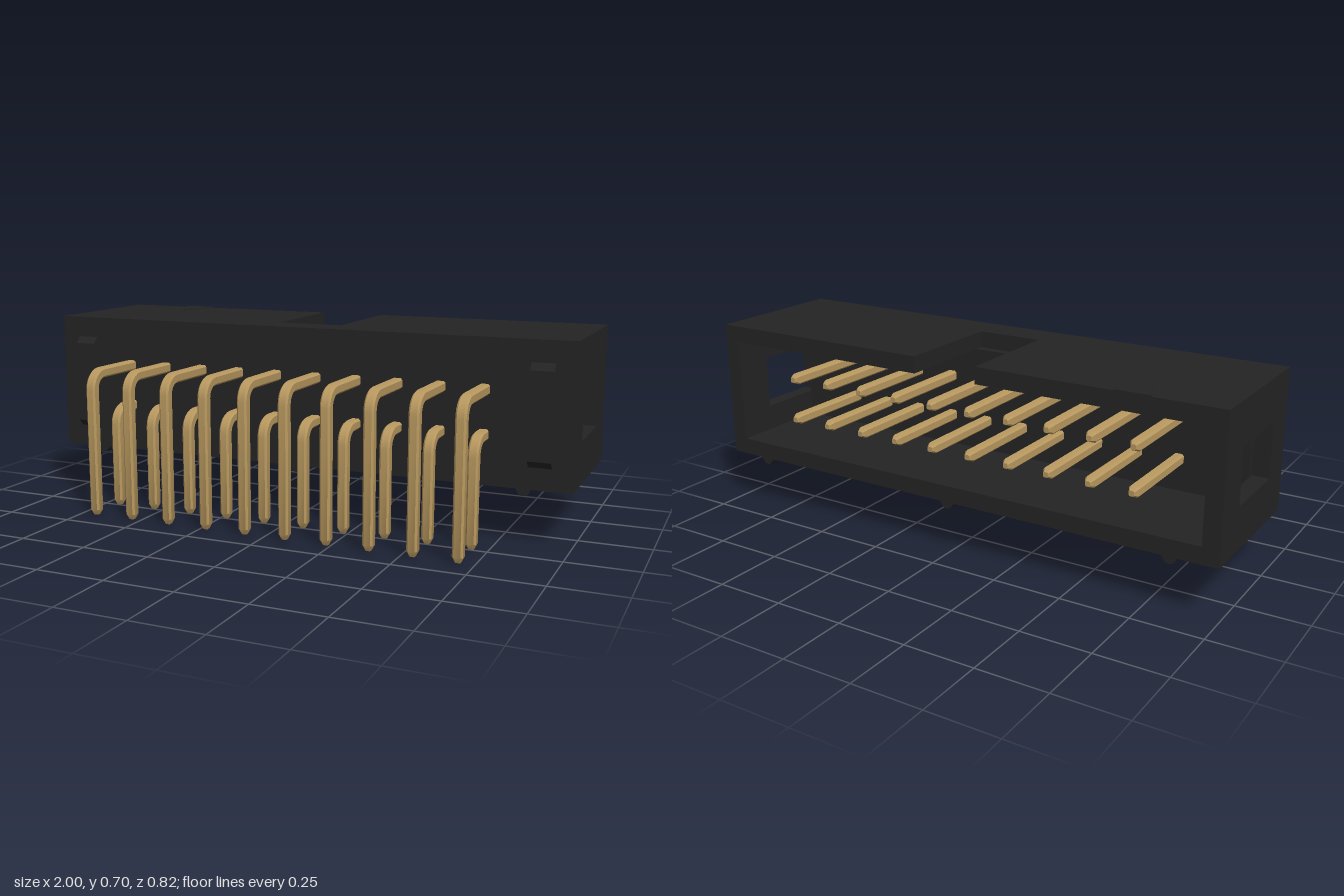
import * as THREE from 'three';
import { toCreasedNormals } from 'three/addons/utils/BufferGeometryUtils.js';

const black = new THREE.MeshStandardMaterial({ name: 'black plastic', color: 0x242424 });
const brass = new THREE.MeshStandardMaterial({ name: 'gold pin', color: 0xb8985f });

// Housing limits
const X = 1, Y0 = 0.195, Y1 = 0.7, BACK = -0.41, FRONT = 0.13, WALL = 0.06, FLOOR = -0.027;

function polygon(points) {
  return new THREE.Shape(points.map(([a, b]) => new THREE.Vector2(a, b)));
}

function extrude(shape, depth) {
  return new THREE.ExtrudeGeometry(shape, { depth, bevelEnabled: false });
}

// Profile given as (-z, y), extruded along x and centred on x = 0
function sideExtrude(shape, width) {
  return extrude(shape, width).translate(0, 0, -width / 2).rotateY(Math.PI / 2);
}

// Profile given as (x, -z), extruded upward from y
function topExtrude(shape, y, height) {
  return extrude(shape, height).rotateX(-Math.PI / 2).translate(0, y, 0);
}

function box(x0, x1, y0, y1, z0, z1) {
  return new THREE.BoxGeometry(x1 - x0, y1 - y0, z1 - z0)
    .translate((x0 + x1) / 2, (y0 + y1) / 2, (z0 + z1) / 2);
}

// Bent pin with a chamfered square section, swept from the mating tip to the solder tip
function pinGeometry(yh, zv) {
  const h = 0.0185, c = 0.012, r = 0.056, steps = 6;
  const section = [[h, -c], [h, c], [c, h], [-c, h], [-h, c], [-h, -c], [-c, -h], [c, -h]];
  const rings = [{ y: yh, z: -0.395, a: 0, s: 0.5 }, { y: yh, z: -0.375, a: 0, s: 1 }];
  for (let i = 0; i <= steps; i++) {
    const a = (i / steps) * Math.PI / 2;
    rings.push({ y: yh - r + r * Math.cos(a), z: zv - r + r * Math.sin(a), a, s: 1 });
  }
  rings.push({ y: 0.02, z: zv, a: Math.PI / 2, s: 1 }, { y: 0, z: zv, a: Math.PI / 2, s: 0.5 });

  const positions = [], index = [], n = section.length;
  for (const { y, z, a, s } of rings) {
    for (const [u, v] of section) {
      positions.push(u * s, y + v * s * Math.cos(a), z + v * s * Math.sin(a));
    }
  }
  for (let i = 0; i < rings.length - 1; i++) {
    for (let j = 0; j < n; j++) {
      const p = i * n + j, q = i * n + (j + 1) % n;
      index.push(p, q, q + n, p, q + n, p + n);
    }
  }
  const last = (rings.length - 1) * n;
  for (let j = 1; j < n - 1; j++) {
    index.push(0, j + 1, j, last, last + j, last + j + 1);
  }
  const geometry = new THREE.BufferGeometry();
  geometry.setAttribute('position', new THREE.Float32BufferAttribute(positions, 3));
  geometry.setIndex(index);
  return toCreasedNormals(geometry, Math.PI / 7);
}

export function createModel() {
  const model = new THREE.Group();
  model.name = 'pinHeader';
  const housing = new THREE.Group();
  housing.name = 'housing';
  const pins = new THREE.Group();
  pins.name = 'pins';
  model.add(housing, pins);

  const add = (parent, name, geometry, material, x = 0) => {
    const mesh = new THREE.Mesh(geometry, material);
    mesh.name = name;
    mesh.position.x = x;
    parent.add(mesh);
  };

  // Top wall with the keying notch open to the back
  const ix = X - WALL, k = 0.122;
  const top = polygon([
    [-ix, -FRONT], [ix, -FRONT], [ix, -BACK], [k, -BACK],
    [k, -0.005], [-k, -0.005], [-k, -BACK], [-ix, -BACK],
  ]);
  add(housing, 'topWall', topExtrude(top, Y1 - WALL, WALL), black);

  // Bottom wall and the block that holds the pins
  add(housing, 'bottomWall', box(-ix, ix, Y0, Y0 + WALL, BACK, FRONT), black);
  add(housing, 'pinBlock', box(-ix, ix, Y0 + WALL, Y1 - WALL, FLOOR, FRONT), black);

  // Side walls with latch windows
  const side = polygon([[-FRONT, Y0], [-BACK, Y0], [-BACK, Y1], [-FRONT, Y1]]);
  side.holes.push(polygon([[-0.005, 0.35], [-0.005, 0.545], [0.27, 0.545], [0.27, 0.35]]));
  const sideGeometry = sideExtrude(side, WALL);

  // Chamfered standoff bars on the front face
  const bar = polygon([[-FRONT, 0.272], [-FRONT, 0.624], [-0.152, 0.6], [-0.152, 0.296]]);
  const barGeometry = sideExtrude(bar, 0.08);

  for (const s of [-1, 1]) {
    add(housing, 'sideWall', sideGeometry, black, s * (X - WALL / 2));
    add(housing, 'frontBar', barGeometry, black, s * 0.888);
  }

  // Round ribs under the housing
  const rib = new THREE.CylinderGeometry(0.024, 0.024, FRONT - BACK, 20)
    .rotateX(Math.PI / 2).translate(0, Y0, (FRONT + BACK) / 2);
  for (const x of [-0.835, 0, 0.835]) add(housing, 'bottomRib', rib, black, x);

  // Raised triangle marking the first pin
  const mark = polygon([[-0.063, -BACK], [0, 0.255], [0.063, -BACK]]);
  add(housing, 'firstPinMark', topExtrude(mark, Y1, 0.004), black, -0.692);

  // Two rows of ten bent pins
  const upper = pinGeometry(0.524, 0.391), lower = pinGeometry(0.37, 0.238);
  for (let i = 0; i < 10; i++) {
    const x = (i - 4.5) * 0.154;
    add(pins, 'upperPin', upper, brass, x);
    add(pins, 'lowerPin', lower, brass, x);
  }
  return model;
}
